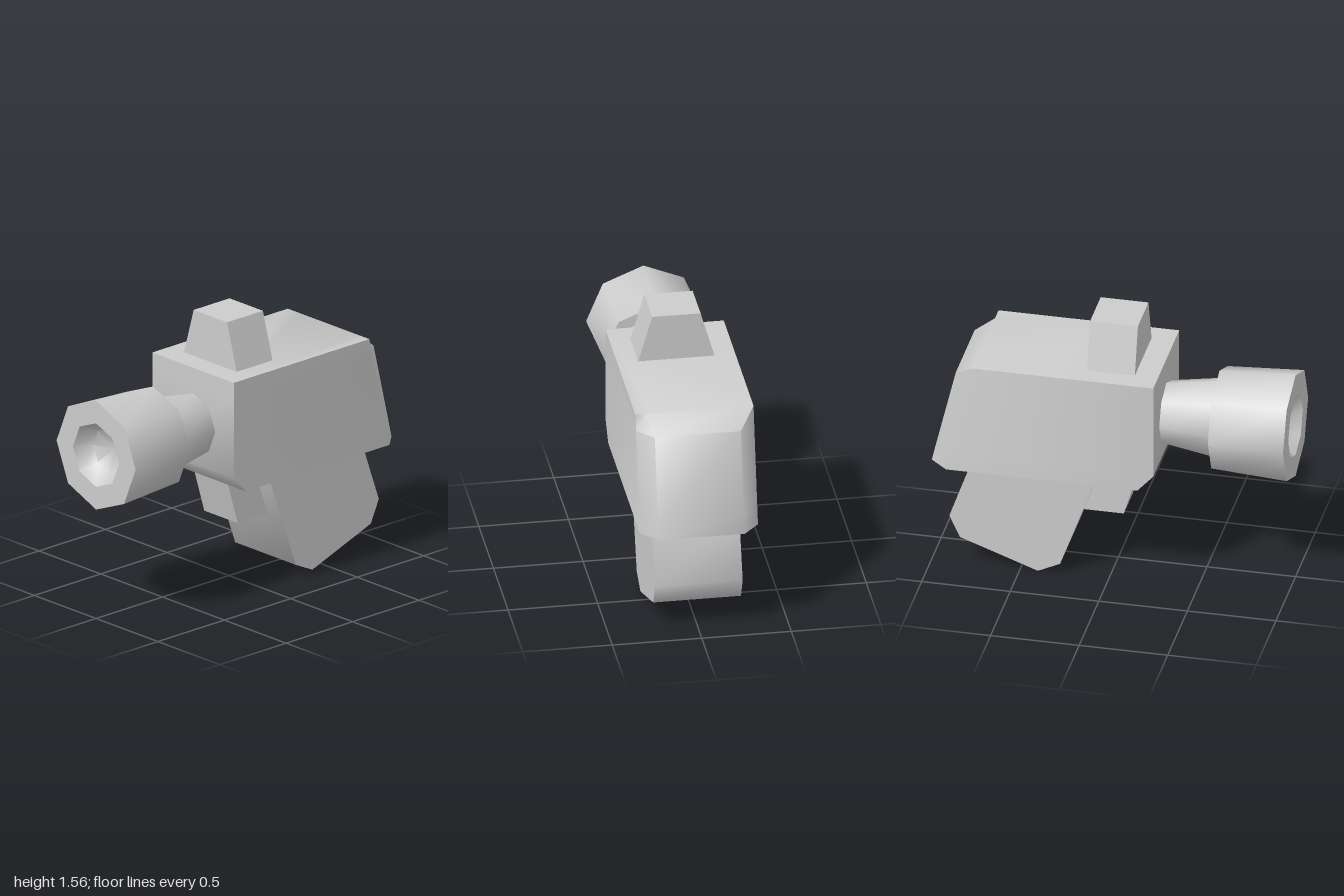
import * as THREE from 'three';
import { toCreasedNormals } from 'three/addons/utils/BufferGeometryUtils.js';

const CREASE = THREE.MathUtils.degToRad(50);

// Closed outline of [u, y] points extruded symmetrically about the outline plane
function extrude(points, depth) {
  const shape = new THREE.Shape(points.map(([u, y]) => new THREE.Vector2(u, y)));
  return new THREE.ExtrudeGeometry(shape, { depth, bevelEnabled: false }).translate(0, 0, -depth / 2);
}

// Side outline of [z, y] points extruded across x
function sideExtrude(points, width) {
  return extrude(points, width).rotateY(-Math.PI / 2);
}

// Eight-sided turning around z, from [radius, z] points
function turn(points) {
  return new THREE.LatheGeometry(points.map(([r, z]) => new THREE.Vector2(r, z)), 8)
    .rotateX(Math.PI / 2)
    .translate(0, 0.96, 0);
}

// Body lofted through horizontal six-cornered sections with cut rear corners
function bodyGeometry() {
  const levels = [ // y, front z, rear side z, rear z
    [0.63, 0.18, -0.9, -1],
    [0.73, 0.27, -0.877, -0.977],
    [1.2, 0.27, -0.77, -0.865],
    [1.29, 0.27, -0.75, -0.75],
  ];
  const pos = [];
  const index = [];
  for (const [y, f, s, r] of levels) {
    pos.push(0.33, y, f, 0.33, y, s, 0.24, y, r, -0.24, y, r, -0.33, y, s, -0.33, y, f);
  }
  for (let l = 0; l < levels.length - 1; l++) {
    for (let i = 0; i < 6; i++) {
      const a = l * 6 + i;
      const b = l * 6 + (i + 1) % 6;
      index.push(a, b, b + 6, a, b + 6, a + 6);
    }
  }
  const top = (levels.length - 1) * 6;
  for (let i = 1; i < 5; i++) {
    index.push(0, i + 1, i, top, top + i, top + i + 1);
  }
  const geo = new THREE.BufferGeometry();
  geo.setAttribute('position', new THREE.Float32BufferAttribute(pos, 3));
  geo.setIndex(index);
  return geo;
}

export function createModel() {
  const model = new THREE.Group();
  const grey = new THREE.MeshStandardMaterial({ color: 0xcccccc });
  grey.name = 'light grey';

  const add = (name, geo) => {
    const mesh = new THREE.Mesh(toCreasedNormals(geo, CREASE), grey);
    mesh.name = name;
    model.add(mesh);
  };

  add('body', bodyGeometry());

  // Raked handle with bevelled foot
  add('grip', sideExtrude([
    [-0.07, 0.63], [-0.78, 0.63], [-0.9, 0.29], [-0.84, 0.16], [-0.4, 0], [-0.275, 0.06],
  ], 0.49));

  add('trigger', sideExtrude([[0.14, 0.63], [-0.2, 0.63], [-0.2, 0.36], [0.06, 0.36]], 0.27));

  // Tapered block on top
  add('sight', extrude([
    [-0.213, 1.29], [0.213, 1.29], [0.135, 1.56], [-0.135, 1.56],
  ], 0.27).translate(0, 0, 0.005));

  add('barrelNeck', turn([[0.178, 0.26], [0.228, 0.57]]));

  // Flared muzzle with a hollow bore
  add('muzzle', turn([
    [0.2, 0.57], [0.295, 0.57], [0.32, 1], [0.187, 1], [0.13, 0.9], [0, 0.86],
  ]));

  return model;
}
